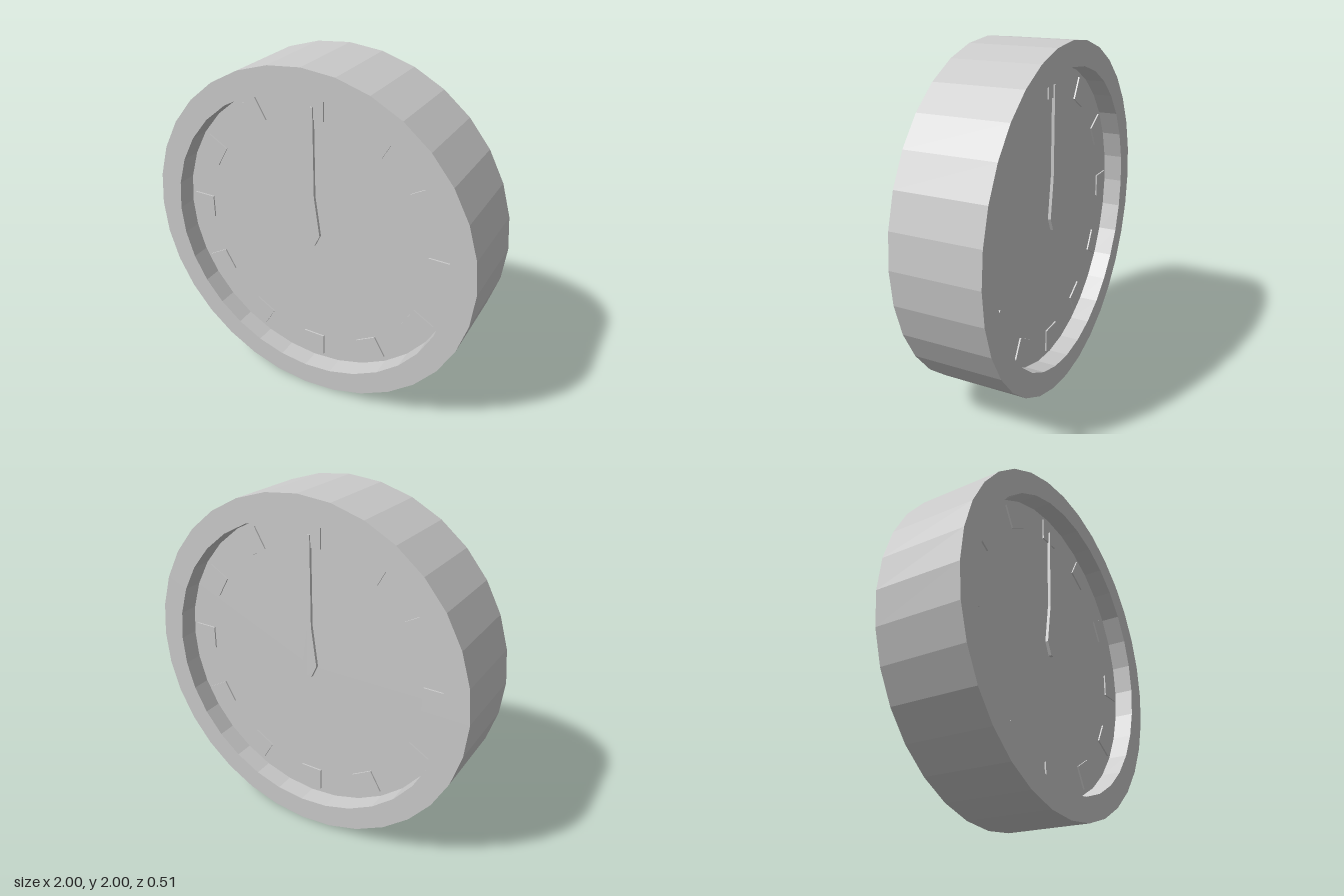
import * as THREE from 'three';

const SIDES = 32, RIM = 0.255, FACE = 0.14, INNER = 0.862;

// Revolves a profile of [radius, depth] pairs about the z axis
function turned(profile, material, name) {
  const points = profile.map(([r, d]) => new THREE.Vector2(r, d));
  const geometry = new THREE.LatheGeometry(points, SIDES).rotateX(Math.PI / 2);
  const mesh = new THREE.Mesh(geometry, material);
  mesh.name = name;
  return mesh;
}

export function createModel() {
  const grey = new THREE.MeshStandardMaterial({ color: 0xcccccc });
  grey.name = 'grey';
  grey.flatShading = true;

  const clock = new THREE.Group();
  clock.name = 'clock';

  // Deep round case, open in the middle
  clock.add(turned([
    [INNER, -FACE], [INNER, -RIM], [1, -RIM], [1, RIM], [INNER, RIM], [INNER, FACE],
  ], grey, 'case'));

  // Tapered hand pointing to twelve
  const outline = [
    [-0.012, -0.065], [0.012, -0.065], [0.047, 0.01], [0.013, 0.25],
    [0.008, 0.765], [-0.008, 0.765], [-0.013, 0.25], [-0.047, 0.01],
  ].map(([x, y]) => new THREE.Vector2(x, y));
  const handGeometry = new THREE.ExtrudeGeometry(new THREE.Shape(outline), {
    depth: 0.018, bevelEnabled: false,
  });
  const markerGeometry = new THREE.BoxGeometry(0.135, 0.135, 0.009);

  // The same recessed dial on the front and the back
  for (const [name, turn] of [['frontDial', 0], ['backDial', Math.PI]]) {
    const dial = new THREE.Group();
    dial.name = name;
    dial.rotation.y = turn;
    dial.add(turned([[INNER, FACE], [0, FACE]], grey, 'face'));

    // Twelve square hour markers
    for (let i = 0; i < 12; i++) {
      const angle = -i * Math.PI / 6;
      const marker = new THREE.Mesh(markerGeometry, grey);
      marker.name = 'hourMarker';
      marker.position.set(-Math.sin(angle) * 0.762, Math.cos(angle) * 0.762, FACE + 0.0045);
      marker.rotation.z = angle;
      dial.add(marker);
    }

    const hand = new THREE.Mesh(handGeometry, grey);
    hand.name = 'hand';
    hand.position.z = FACE;
    dial.add(hand);
    clock.add(dial);
  }

  clock.position.y = 1;
  const model = new THREE.Group();
  model.name = 'doubleSidedClock';
  model.add(clock);
  return model;
}
